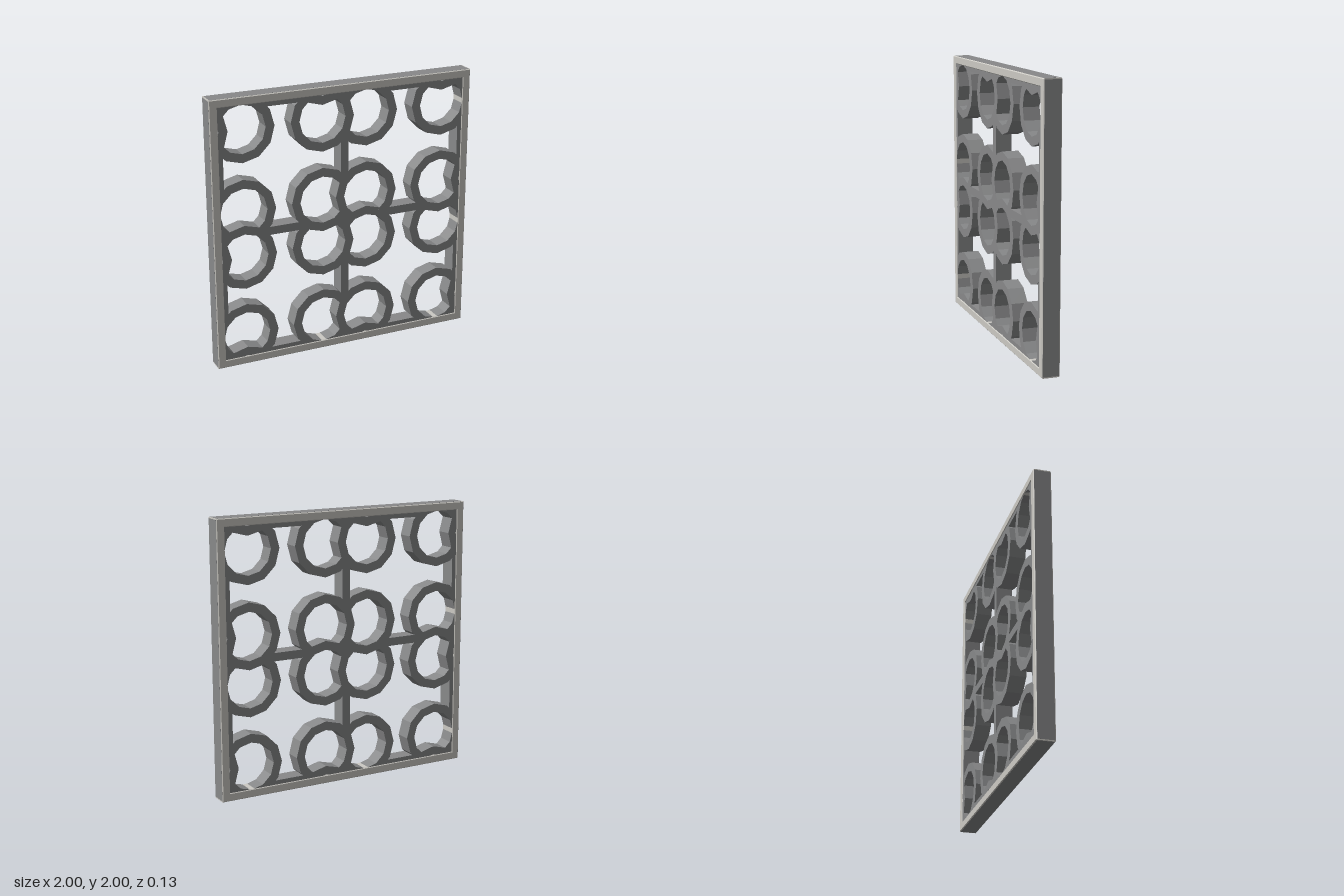
import * as THREE from 'three';
import { mergeGeometries } from 'three/addons/utils/BufferGeometryUtils.js';

const PITCH = 0.94;    // spacing of the lattice nodes
const OFFSET = 0.17;   // ring centres from their node
const SIDES = 12, R_OUT = 0.24, R_IN = 0.175;
const BAR = 0.03;      // half width of the straight bars
const LATTICE_DEPTH = 0.12;

const circle = (cx, cy, r) => Array.from({ length: SIDES }, (_, i) => {
  const a = (i / SIDES) * Math.PI * 2;
  return [cx + r * Math.cos(a), cy + r * Math.sin(a)];
});
const rect = (w, h) => [[-w, -h], [w, -h], [w, h], [-w, h]];
const area = (p) => p.reduce((s, a, i) => {
  const b = p[(i + 1) % p.length];
  return s + (a[0] * b[1] - a[1] * b[0]) / 2;
}, 0);

// part of a convex polygon to the left (sign 1) or right (sign -1) of line ab
function cut(poly, a, b, sign) {
  const side = (p) => sign * ((b[0] - a[0]) * (p[1] - a[1]) - (b[1] - a[1]) * (p[0] - a[0]));
  const out = [];
  poly.forEach((p, i) => {
    const q = poly[(i + 1) % poly.length], sp = side(p), sq = side(q);
    if (sp >= 0) out.push(p);
    if (sp * sq < 0) {
      const t = sp / (sp - sq);
      out.push([p[0] + t * (q[0] - p[0]), p[1] + t * (q[1] - p[1])]);
    }
  });
  return out;
}
const valid = (p) => p.length > 2 && area(p) > 1e-6;

function intersect(poly, window) {
  return window.reduce((p, a, i) => cut(p, a, window[(i + 1) % window.length], 1), poly);
}

// convex pieces left after removing a convex hole
function subtract(poly, hole) {
  if (!valid(intersect(poly, hole))) return [poly];
  const pieces = [];
  hole.forEach((a, i) => {
    const b = hole[(i + 1) % hole.length];
    const outside = cut(poly, a, b, -1);
    if (valid(outside)) pieces.push(outside);
    poly = cut(poly, a, b, 1);
  });
  return pieces;
}

function prism(poly) {
  const g = new THREE.ExtrudeGeometry(new THREE.Shape(poly.map((p) => new THREE.Vector2(...p))),
    { depth: LATTICE_DEPTH, bevelEnabled: false });
  return g.translate(0, 0, -LATTICE_DEPTH / 2);
}

// four rings round a node, each one cut away inside the ring before it
const centres = [[1, 1], [-1, 1], [-1, -1], [1, -1]].map(([x, y]) => [x * OFFSET, y * OFFSET]);
const holes = centres.map(([x, y]) => circle(x, y, R_IN));

function ringPieces() {
  return centres.flatMap(([x, y], k) => {
    const outer = circle(x, y, R_OUT), inner = holes[k];
    return outer.flatMap((p, i) => {
      const j = (i + 1) % SIDES;
      return subtract([p, outer[j], inner[j], inner[i]], holes[(k + 3) % 4]);
    });
  });
}

// crossing bars of a node, open inside every ring
function barPieces() {
  const bars = [rect(PITCH / 2, BAR), rect(BAR, PITCH / 2)];
  return holes.reduce((list, h) => list.flatMap((p) => subtract(p, h)), bars);
}

// repeat the node pieces on a 3 x 3 grid, trimmed by the frame opening
function lattice(pieces) {
  const opening = rect(0.942, 0.942), out = [];
  for (let i = -1; i <= 1; i++) {
    for (let j = -1; j <= 1; j++) {
      for (const piece of pieces) {
        const moved = piece.map(([x, y]) => [x + i * PITCH, y + j * PITCH]);
        const p = intersect(moved, opening);
        if (valid(p)) out.push(prism(p));
      }
    }
  }
  return mergeGeometries(out);
}

export function createModel() {
  const group = new THREE.Group();
  const light = new THREE.MeshStandardMaterial({ color: 0xcccac4 });
  const dark = new THREE.MeshStandardMaterial({ color: 0x88898a });
  const add = (name, geometry, material) => {
    const mesh = new THREE.Mesh(geometry, material);
    mesh.name = name;
    mesh.position.y = 1;
    group.add(mesh);
    return mesh;
  };

  // square frame with a fine chamfer
  const c = 0.006;
  const toPath = (h) => rect(h, h).map((p) => new THREE.Vector2(...p));
  const shape = new THREE.Shape(toPath(1 - c));
  shape.holes.push(new THREE.Path(toPath(0.94 + c).reverse()));
  const frame = new THREE.ExtrudeGeometry(shape,
    { depth: 0.13 - 2 * c, bevelSize: c, bevelThickness: c, bevelSegments: 1 });
  add('frame', frame.translate(0, 0, c - 0.065), light);

  // dark edge strips round the outside
  for (let k = 0; k < 4; k++) {
    const strip = new THREE.BoxGeometry(0.004, 1.984, 0.118).translate(0.9985, 0, 0);
    add('edgeStrip', strip.rotateZ((k * Math.PI) / 2), dark);
  }

  add('rings', lattice(ringPieces()), dark);
  add('bars', lattice(barPieces()), dark);
  return group;
}
